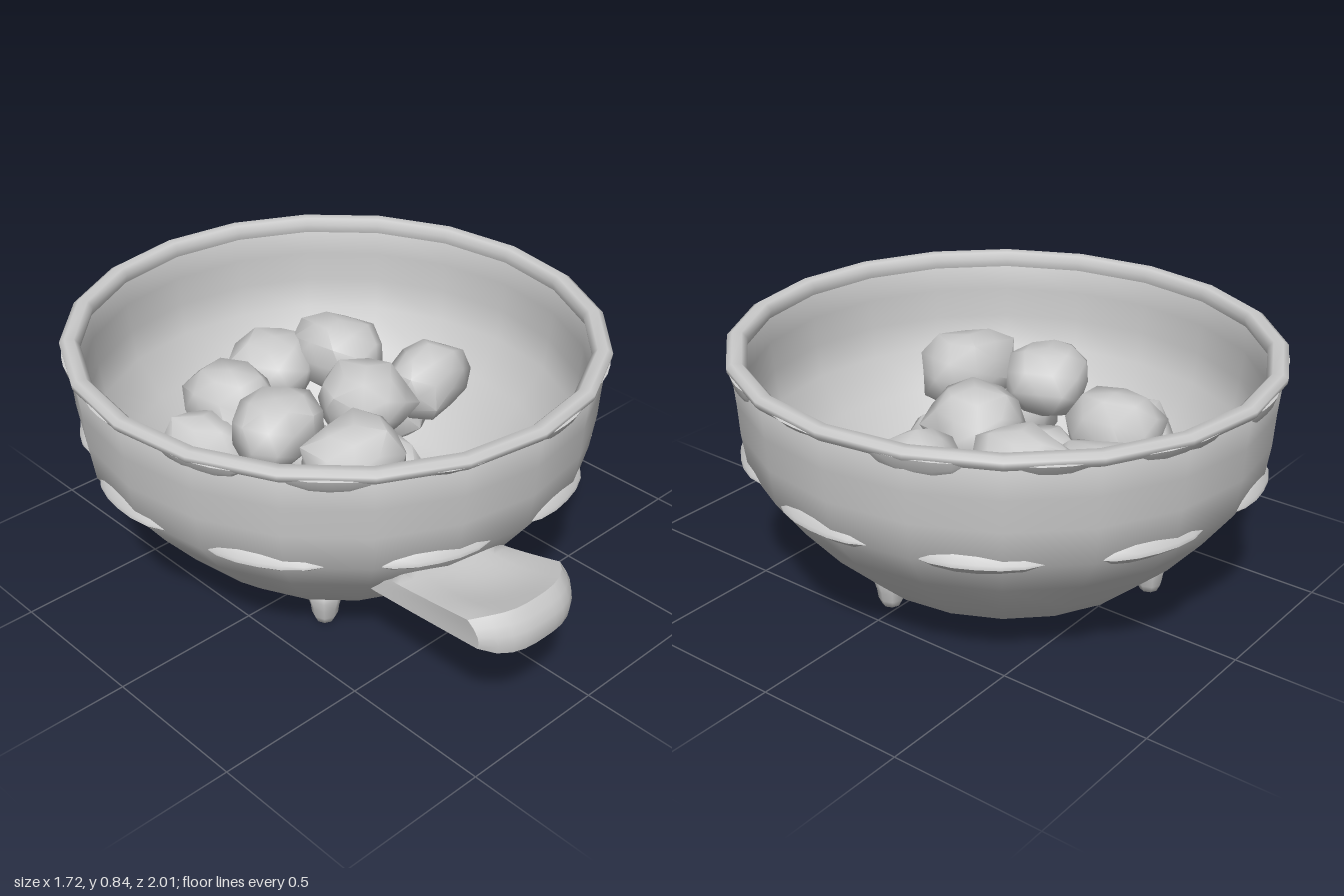
import * as THREE from 'three';
import { mergeVertices, toCreasedNormals } from 'three/addons/utils/BufferGeometryUtils.js';

const material = new THREE.MeshStandardMaterial({ color: 0xcccccc, side: THREE.DoubleSide });
const v2 = (points) => points.map(([x, y]) => new THREE.Vector2(x, y));

function add(parent, name, geometry) {
  const mesh = new THREE.Mesh(geometry, material);
  mesh.name = name;
  parent.add(mesh);
  return mesh;
}

// Move every vertex by a rule, then rebuild the normals.
function deform(geometry, rule) {
  const pos = geometry.attributes.position;
  const v = new THREE.Vector3();
  for (let i = 0; i < pos.count; i++) {
    v.fromBufferAttribute(pos, i);
    rule(v);
    pos.setXYZ(i, v.x, v.y, v.z);
  }
  geometry.computeVertexNormals();
  return geometry;
}

// Shared corners, so that moved surfaces stay closed and smooth.
function welded(geometry) {
  geometry.deleteAttribute('uv');
  geometry.deleteAttribute('normal');
  return mergeVertices(geometry, 1e-3);
}

// Raised strip around the wall that fades out at both ends.
function strip(profile, wall, top, angle, length) {
  const geometry = new THREE.LatheGeometry(v2(profile), 6, angle - length / 2, length);
  deform(geometry, (v) => {
    const r = Math.hypot(v.x, v.z);
    const a = Math.atan2(v.x, v.z);
    const off = Math.atan2(Math.sin(a - angle), Math.cos(a - angle));
    const fade = 1 - Math.pow(Math.min(1, Math.abs(off) / (length / 2)), 3);
    const nr = wall + (r - wall) * fade;
    v.set(nr * Math.sin(a), top + (v.y - top) * fade, nr * Math.cos(a));
  });
  return toCreasedNormals(geometry, 0.7);
}

// Angular stone with its own seed.
function stone(seed) {
  const geometry = deform(welded(new THREE.IcosahedronGeometry(1, 1)), (v) => {
    const s = Math.sin(v.x * 12.9 + v.y * 78.2 + v.z * 37.7 + seed * 5.1) * 43.7;
    const box = Math.max(Math.abs(v.x), Math.abs(v.y), Math.abs(v.z));
    v.multiplyScalar((0.86 + 0.24 * (s - Math.floor(s))) * Math.pow(1 / box, 0.45));
  });
  return toCreasedNormals(geometry, 1.1);
}

export function createModel() {
  const model = new THREE.Group();

  // Thin bowl with its rim and raised strips, slightly longer in z
  const bowl = new THREE.Group();
  bowl.name = 'bowl';
  bowl.position.z = -0.118;
  bowl.scale.z = 1.025;
  model.add(bowl);

  const wall = [
    [0, 0.06], [0.37, 0.065], [0.5, 0.12], [0.61, 0.22], [0.72, 0.35], [0.815, 0.48],
    [0.832, 0.6], [0.838, 0.7], [0.848, 0.81],
    [0.81, 0.81], [0.808, 0.7], [0.8, 0.6], [0.785, 0.49], [0.695, 0.365], [0.585, 0.235],
    [0.485, 0.145], [0.36, 0.095], [0, 0.09],
  ];
  add(bowl, 'bowlWall', new THREE.LatheGeometry(v2(wall), 20));

  const rim = [
    [0.842, 0.79], [0.86, 0.808], [0.862, 0.825], [0.845, 0.836],
    [0.815, 0.834], [0.798, 0.815], [0.806, 0.785],
  ];
  add(bowl, 'rim', new THREE.LatheGeometry(v2(rim), 20));

  // Rim scallops
  for (let i = 0; i < 14; i++) {
    const length = 0.36 + 0.06 * Math.sin(i * 2.3);
    const depth = 0.758 - 0.015 * Math.sin(i * 3.7);
    const profile = [[0.825, depth], [0.848, depth + 0.03], [0.858, 0.81], [0.83, 0.82]];
    add(bowl, 'rimScallop', strip(profile, 0.835, 0.81, 0.12 + (i * Math.PI) / 7, length));
  }

  // Band of shallow ledges at the widest bend
  for (let i = 0; i < 10; i++) {
    const profile = [[0.78, 0.44], [0.805, 0.46], [0.832, 0.482], [0.83, 0.495], [0.81, 0.515]];
    add(bowl, 'ledge', strip(profile, 0.803, 0.485, 0.23 + (i * Math.PI) / 5, 0.48));
  }

  // Handle: upturned slab with a hollow top, its root following the bowl wall
  const slab = welded(new THREE.BoxGeometry(2, 2, 1, 10, 4, 8));
  const handle = deform(slab, (v) => {
    const t = v.z + 0.5;
    const u = v.x;
    const thick = 0.06 * (1 - 0.35 * Math.pow(Math.abs(u), 6));
    const hollow = v.y > 0 ? 0.025 * (1 - u * u) * Math.sin(Math.PI * t) : 0;
    const x = -0.205 - 0.03 * t + u * (0.185 + 0.01 * t);
    const y = 0.345 + 0.075 * Math.pow(t, 1.1) + v.y * thick - hollow;
    const wallRadius = 0.7 + 0.75 * (0.06 * v.y);
    const root = 1.025 * Math.sqrt(wallRadius * wallRadius - x * x) - 0.118;
    const end = 1 - 0.08 * Math.pow(Math.abs(u), 3) - 0.02 * v.y * v.y - 0.02 * v.y;
    v.set(x, y, root + t * (end - root));
  });
  add(model, 'handle', toCreasedNormals(handle, 0.8));

  // Three stubby feet
  const footProfile = [[0, 0], [0.03, 0.005], [0.042, 0.03], [0.046, 0.06], [0.058, 0.1], [0.05, 0.12]];
  for (const [x, z] of [[-0.33, 0.18], [0.4, 0.03], [-0.19, -0.57]]) {
    const foot = add(model, 'foot', new THREE.LatheGeometry(v2(footProfile), 8));
    foot.position.set(x, 0, z);
  }

  // Heap of stones: x, y, z, half width, half height, half depth, turn
  const stones = [
    [-0.22, 0.51, -0.39, 0.13, 0.13, 0.16, 0.1],
    [0.08, 0.49, -0.52, 0.16, 0.12, 0.15, 0.6],
    [0.24, 0.55, -0.36, 0.13, 0.13, 0.165, 0.2],
    [-0.29, 0.59, -0.08, 0.155, 0.12, 0.13, 0.4],
    [0.08, 0.55, -0.06, 0.15, 0.12, 0.155, -0.3],
    [0.38, 0.51, -0.07, 0.16, 0.12, 0.12, 0.1],
    [-0.22, 0.58, 0.2, 0.17, 0.12, 0.145, -0.1],
    [-0.38, 0.42, -0.34, 0.11, 0.13, 0.16, 0.3],
    [-0.1, 0.37, -0.21, 0.1, 0.14, 0.14, -0.2],
    [-0.37, 0.39, 0.1, 0.11, 0.14, 0.13, 0.3],
    [0.01, 0.37, 0.11, 0.11, 0.14, 0.13, 0],
    [0.34, 0.38, -0.17, 0.1, 0.13, 0.1, 0.5],
  ];
  stones.forEach(([x, y, z, w, h, d, turn], i) => {
    const mesh = add(model, 'stone', stone(i + 1));
    mesh.position.set(x, y, z);
    mesh.scale.set(w, h, d);
    mesh.rotation.y = turn;
  });

  return model;
}
